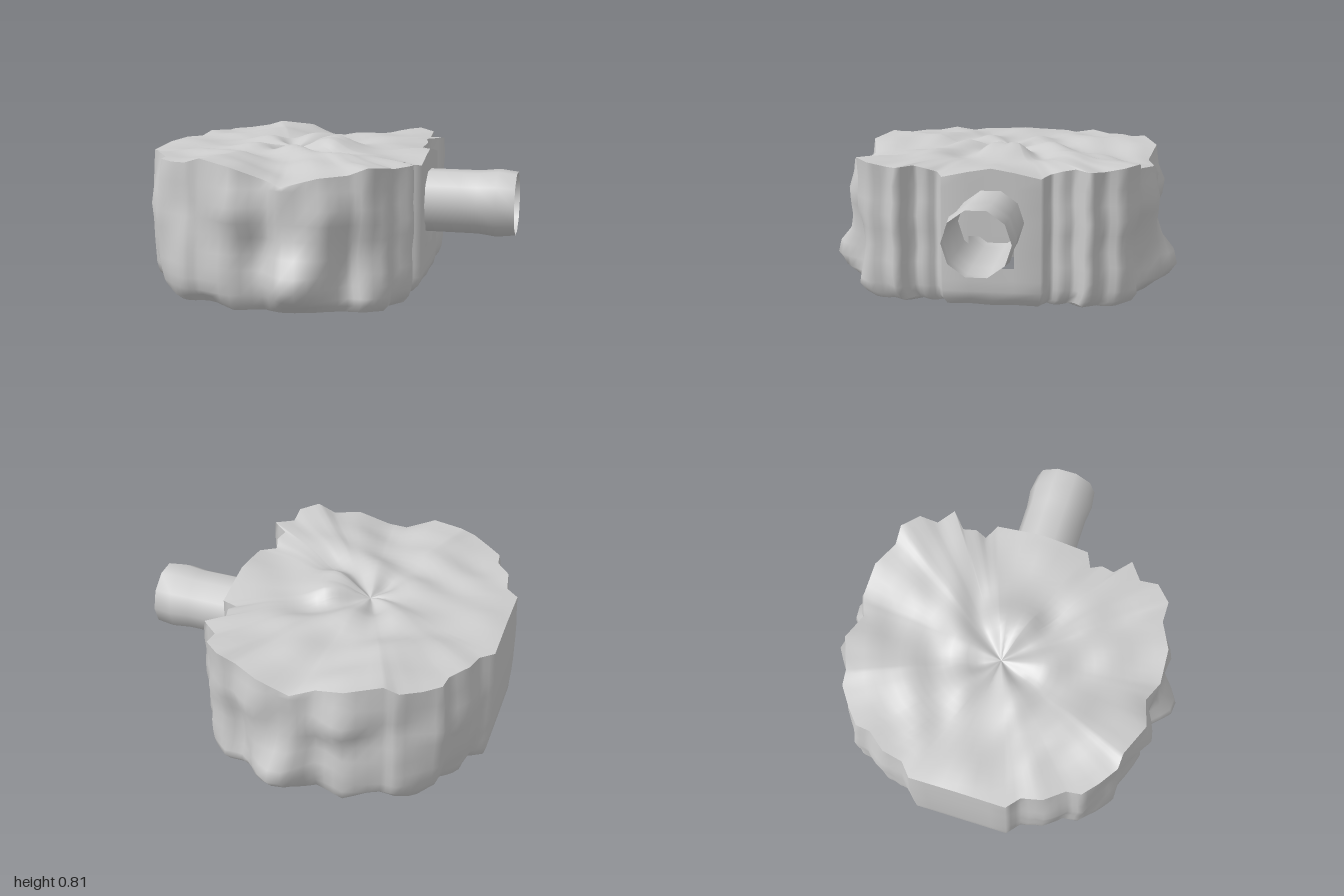
import * as THREE from 'three';
import { toCreasedNormals } from 'three/addons/utils/BufferGeometryUtils.js';

const CX = -0.23; // the drum's axis

// Half of the scalloped rim as [x, z, y], from the pipe side round to the far side
const RIM = [
  [0.52, 0, 0.76], [0.52, 0.12, 0.74], [0.52, 0.26, 0.71], [0.43, 0.3, 0.72], [0.45, 0.36, 0.74],
  [0.43, 0.43, 0.75], [0.52, 0.51, 0.75], [0.43, 0.58, 0.74], [0.43, 0.68, 0.76], [0.34, 0.76, 0.77],
  [0.24, 0.76, 0.73], [0.1, 0.83, 0.72], [-0.08, 0.84, 0.67], [-0.2, 0.79, 0.7], [-0.36, 0.83, 0.76],
  [-0.54, 0.755, 0.785], [-0.62, 0.75, 0.76], [-0.72, 0.68, 0.75], [-0.8, 0.61, 0.75], [-0.81, 0.53, 0.75],
  [-0.89, 0.43, 0.76], [-0.91, 0.32, 0.74], [-0.98, 0.26, 0.74], [-0.98, 0, 0.75],
];
// Lumps and hollows on the wall: x, y, width, height, amount
const LUMPS = [
  [-0.04, 0.19, 0.14, 0.13, 0.135], [-0.32, 0.53, 0.14, 0.13, 0.06], [-0.84, 0.42, 0.1, 0.25, 0.045],
  [-0.66, 0.25, 0.12, 0.15, 0.025], [0.3, 0.28, 0.1, 0.14, -0.05], [-0.22, 0.3, 0.1, 0.12, -0.03],
  [0.12, 0.52, 0.12, 0.1, 0.04], [-0.45, 0.2, 0.12, 0.12, 0.04],
];

// Whole rim: subdivide the half outline, then mirror it
function rimLoop() {
  const half = [];
  const points = RIM.map(([x, z, y]) => new THREE.Vector3(x, y, z));
  points.forEach((p, i) => {
    half.push(p);
    const q = points[i + 1];
    if (q && i > 1) half.push(p.clone().lerp(q, 1 / 3), p.clone().lerp(q, 2 / 3));
  });
  const back = half.slice(1, -1).reverse().map((p) => new THREE.Vector3(p.x, p.y, -p.z));
  return [...half, ...back];
}

// Skin closed rings listed from bottom to top; skip(row, column) leaves a hole
function skin(rings, skip = () => false) {
  const n = rings[0].length, pos = [], index = [];
  rings.forEach((r) => r.forEach((p) => pos.push(p.x, p.y, p.z)));
  for (let j = 0; j < rings.length - 1; j++) {
    for (let i = 0; i < n; i++) {
      if (skip(j, i)) continue;
      const k = (i + 1) % n, a = j * n + i, b = j * n + k, c = a + n, d = b + n;
      index.push(a, c, b, b, c, d);
    }
  }
  const g = new THREE.BufferGeometry();
  g.setAttribute('position', new THREE.Float32BufferAttribute(pos, 3));
  g.setIndex(index);
  g.computeVertexNormals();
  return g;
}

export function createModel() {
  const group = new THREE.Group();
  const grey = new THREE.MeshStandardMaterial({ color: 0xcccccc });
  const greyDouble = new THREE.MeshStandardMaterial({ color: 0xcccccc, side: THREE.DoubleSide });
  const add = (name, geometry, material = grey) => {
    const mesh = new THREE.Mesh(geometry, material);
    mesh.name = name;
    group.add(mesh);
    return mesh;
  };

  const rim = rimLoop(), n = rim.length;

  // Lumpy wall
  const levels = [0.01, 0.04, 0.1, 0.16, 0.23, 0.31, 0.4, 0.48, 0.56, 0.65, null];
  const wallPoint = (p, y, row) => {
    if (y === null) return p.clone();
    const z = Math.abs(p.z);
    const side = THREE.MathUtils.smoothstep(z, 0.2, 0.45);
    let out = p.x < -0.9 ? 0.014 * Math.sin(Math.PI * y / 0.75) : 0;
    for (const [x, ly, w, h, amount] of LUMPS) {
      out += side * amount * Math.exp(-(((p.x - x) / w) ** 2) - ((y - ly) / h) ** 2);
    }
    out += side * 0.012 * Math.sin(14 * p.x + 9 * y) * Math.sin(15 * y - 4 * p.x);
    out -= [0.05, 0.012][row] ?? 0;
    const s = 1 + out / Math.hypot(p.x - CX, p.z);
    const wave = [0.009, 0.016][row] ?? 0;
    const lift = wave * (1 + Math.sin(z * 23 + p.x * 7));
    return new THREE.Vector3(CX + (p.x - CX) * s, y + lift, p.z * s);
  };
  const rings = levels.map((y, row) => rim.map((p) => wallPoint(p, y, row)));
  // Slot below the pipe, hidden above by the pipe itself
  const slot = (j, i) => (j === 4 || j === 5) && (i === 0 || i === n - 1);
  add('wall', skin(rings, slot));

  // Crinkled top: rings become rounder and bumpier towards the middle
  const topRings = [];
  for (let k = 0; k <= 18; k++) {
    const t = 1 - k / 18;
    topRings.push(rim.map((p) => {
      const a = Math.atan2(p.z, p.x - CX);
      const round = 1 / Math.hypot(Math.cos(a) / 0.74, Math.sin(a) / 0.81);
      const r = t * THREE.MathUtils.lerp(round, Math.hypot(p.x - CX, p.z), t ** 5);
      const x = CX + r * Math.cos(a), z = r * Math.sin(a), m = Math.abs(z);
      const ripple = 0.018 * Math.sin(5 * Math.abs(a) + 5 * t) + 0.016 * Math.sin(13 * x + 1.5) * Math.cos(12 * m)
        + 0.011 * Math.sin(24 * m - 9 * x);
      const peak = 0.035 * Math.exp(-(((x + 0.02) / 0.1) ** 2) - ((m - 0.1) / 0.08) ** 2);
      const base = THREE.MathUtils.lerp(0.76 - 0.03 * Math.exp(-t * 12), p.y, t ** 3);
      return new THREE.Vector3(x, base + (ripple + peak) * Math.min(1, t * 6) * (1 - t ** 3), z);
    }));
  }
  add('top', skin(topRings));

  // Nearly flat underside
  const underRings = [0, 0.3, 0.6, 0.85, 0.94, 1].map((t) => rings[0].map((p) => new THREE.Vector3(
    CX + (p.x - CX) * t, THREE.MathUtils.lerp(t ? 0.003 : 0.02, p.y, t ** 8), p.z * t)));
  add('underside', skin(underRings));

  // Open ten-sided pipe with a slight swelling near its mouth
  const pipeGeometry = new THREE.CylinderGeometry(0.174, 0.174, 0.7, 10, 7, true);
  pipeGeometry.rotateZ(-Math.PI / 2);
  const pos = pipeGeometry.attributes.position;
  for (let i = 0; i < pos.count; i++) {
    const swell = 1 + 0.07 * Math.exp(-(((pos.getX(i) - 0.25) / 0.05) ** 2));
    pos.setXYZ(i, pos.getX(i), pos.getY(i) * swell, pos.getZ(i) * swell);
  }
  add('pipe', toCreasedNormals(pipeGeometry, 0.8), greyDouble).position.set(0.65, 0.478, 0);

  // Disc that closes the pipe's inner end
  const plug = add('pipePlug', new THREE.CircleGeometry(0.174, 10), greyDouble);
  plug.rotation.y = Math.PI / 2;
  plug.position.set(0.3, 0.478, 0);

  // Short upright duct inside, seen through the slot
  const duct = add('innerDuct', new THREE.CylinderGeometry(0.13, 0.13, 0.16, 8, 1, true), greyDouble);
  duct.rotation.y = Math.PI / 8;
  duct.position.set(0.1, 0.29, 0);

  return group;
}
